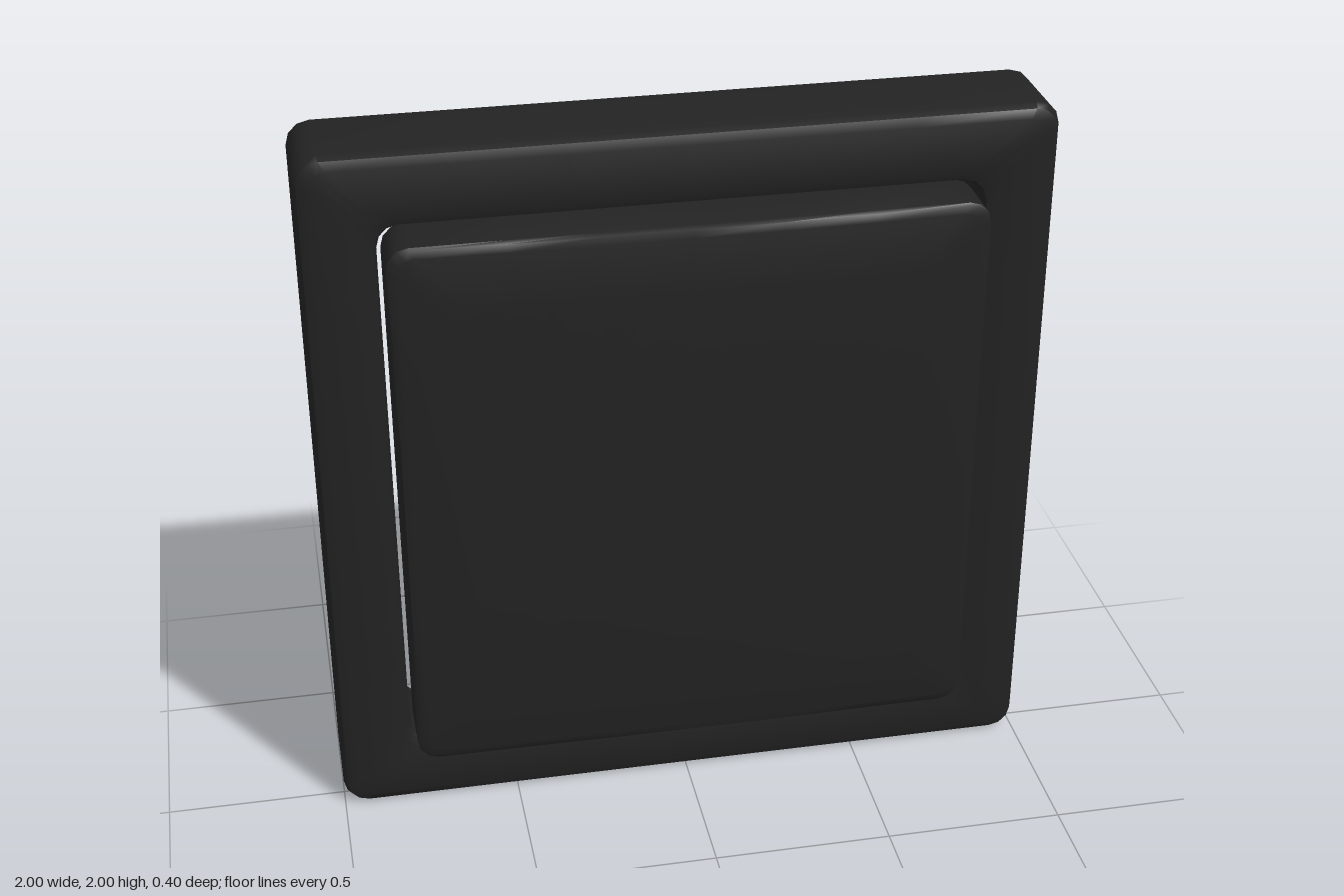
import * as THREE from 'three';
import { toCreasedNormals } from 'three/addons/utils/BufferGeometryUtils.js';

const ARC = 3;   // segments per rounded corner
const SIDE = 6;  // segments per straight side

// Rounded square outline, counter-clockwise seen from +z
function roundedSquare(half, radius) {
  const points = [];
  const inner = half - radius;
  for (let k = 0; k < 4; k++) {
    const turn = k * Math.PI / 2;
    const c = Math.cos(turn), s = Math.sin(turn);
    const add = (x, y) => points.push([x * c - y * s, x * s + y * c]);
    for (let i = 0; i <= ARC; i++) {
      const a = (i / ARC) * Math.PI / 2;
      add(inner + radius * Math.cos(a), inner + radius * Math.sin(a));
    }
    for (let i = 1; i < SIDE; i++) add(inner * (1 - 2 * i / SIDE), half);
  }
  return points;
}

// Skin a row of sections [half, radius, z]; sag(x, y) lowers sections marked with a fourth value
function skin(sections, closed, sag = () => 0) {
  const rings = sections.map(([half, radius, z, domed]) =>
    roundedSquare(half, radius).map(([x, y]) => [x, y, z - (domed ? sag(x, y) : 0)]));
  const positions = [];
  const n = rings[0].length;
  const count = closed ? rings.length : rings.length - 1;
  for (let i = 0; i < count; i++) {
    const next = (i + 1) % rings.length;
    const p = rings[i], q = rings[next];
    for (let j = 0; j < n; j++) {
      const k = (j + 1) % n;
      if (sections[i][0] > 0) positions.push(...p[j], ...p[k], ...q[k]);
      if (sections[next][0] > 0) positions.push(...p[j], ...q[k], ...q[j]);
    }
  }
  const geometry = new THREE.BufferGeometry();
  geometry.setAttribute('position', new THREE.Float32BufferAttribute(positions, 3));
  return toCreasedNormals(geometry, 0.8);
}

export function createModel() {
  const group = new THREE.Group();
  group.name = 'wallSwitch';

  const blackPlastic = new THREE.MeshStandardMaterial({ color: 0x222222 });
  blackPlastic.name = 'blackPlastic';

  const addPart = (name, geometry) => {
    const mesh = new THREE.Mesh(geometry, blackPlastic);
    mesh.name = name;
    mesh.position.y = 1;
    group.add(mesh);
  };

  // Frame: soft front edges, square opening, back sloping in slightly
  addPart('frame', skin([
    [1.0, 0.065, -0.2],
    [1.0, 0.065, 0.035],
    [0.99, 0.06, 0.06],
    [0.965, 0.05, 0.07],
    [0.825, 0.07, 0.07],
    [0.807, 0.065, 0.063],
    [0.8, 0.06, 0.045],
    [0.8, 0.06, -0.17],
  ], true));

  // Rocker button: flat back, rounded rim and a gently domed face
  const sag = (x, y) => 0.02 * (x * x + y * y);
  const dome = [0.6, 0.45, 0.3, 0.15, 0].map((half) => [half, half * 0.06, 0.2, true]);
  addPart('button', skin([
    [0, 0, 0.015],
    [0.788, 0.06, 0.015],
    [0.788, 0.06, 0.168],
    [0.781, 0.055, 0.195, true],
    [0.76, 0.045, 0.2, true],
    ...dome,
  ], false, sag));

  return group;
}
